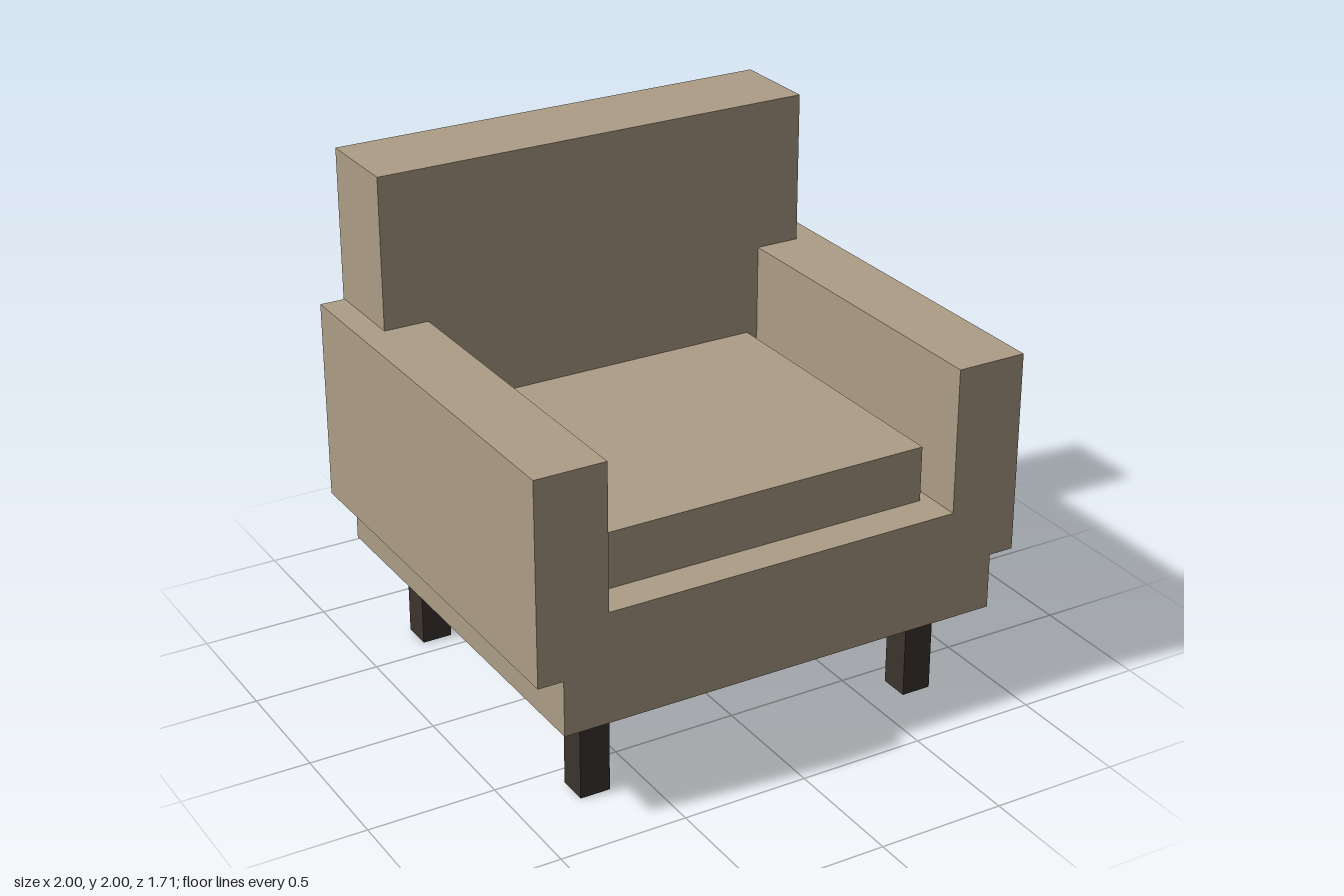
import * as THREE from 'three';

export function createModel() {
  const group = new THREE.Group();
  group.name = 'armchair';
  const fabric = new THREE.MeshStandardMaterial({ color: 0xac9d86 });
  fabric.name = 'beige fabric';
  const wood = new THREE.MeshStandardMaterial({ color: 0x3c342d });
  wood.name = 'dark wood';

  // Box given by its extents along each axis
  function box(name, material, [x0, x1], [y0, y1], [z0, z1]) {
    const mesh = new THREE.Mesh(new THREE.BoxGeometry(x1 - x0, y1 - y0, z1 - z0), material);
    mesh.position.set((x0 + x1) / 2, (y0 + y1) / 2, (z0 + z1) / 2);
    mesh.name = name;
    group.add(mesh);
  }

  // Upholstered body
  box('base', fabric, [-0.9, 0.9], [0.385, 0.825], [-0.845, 0.855]);
  box('seatCushion', fabric, [-0.675, 0.675], [0.825, 1.045], [-0.5, 0.71]);
  box('backrest', fabric, [-0.9, 0.9], [0.6, 2], [-0.855, -0.495]);
  box('leftArm', fabric, [0.72, 1], [0.605, 1.4], [-0.845, 0.855]);
  box('rightArm', fabric, [-1, -0.72], [0.605, 1.4], [-0.845, 0.855]);

  // Four square legs, set a little below the base
  for (const [side, x] of [['Left', 0.7], ['Right', -0.7]]) {
    for (const [end, z] of [['front', 0.645], ['back', -0.635]]) {
      box(end + side + 'Leg', wood, [x - 0.06, x + 0.06], [0, 0.325], [z - 0.06, z + 0.06]);
    }
  }
  return group;
}
